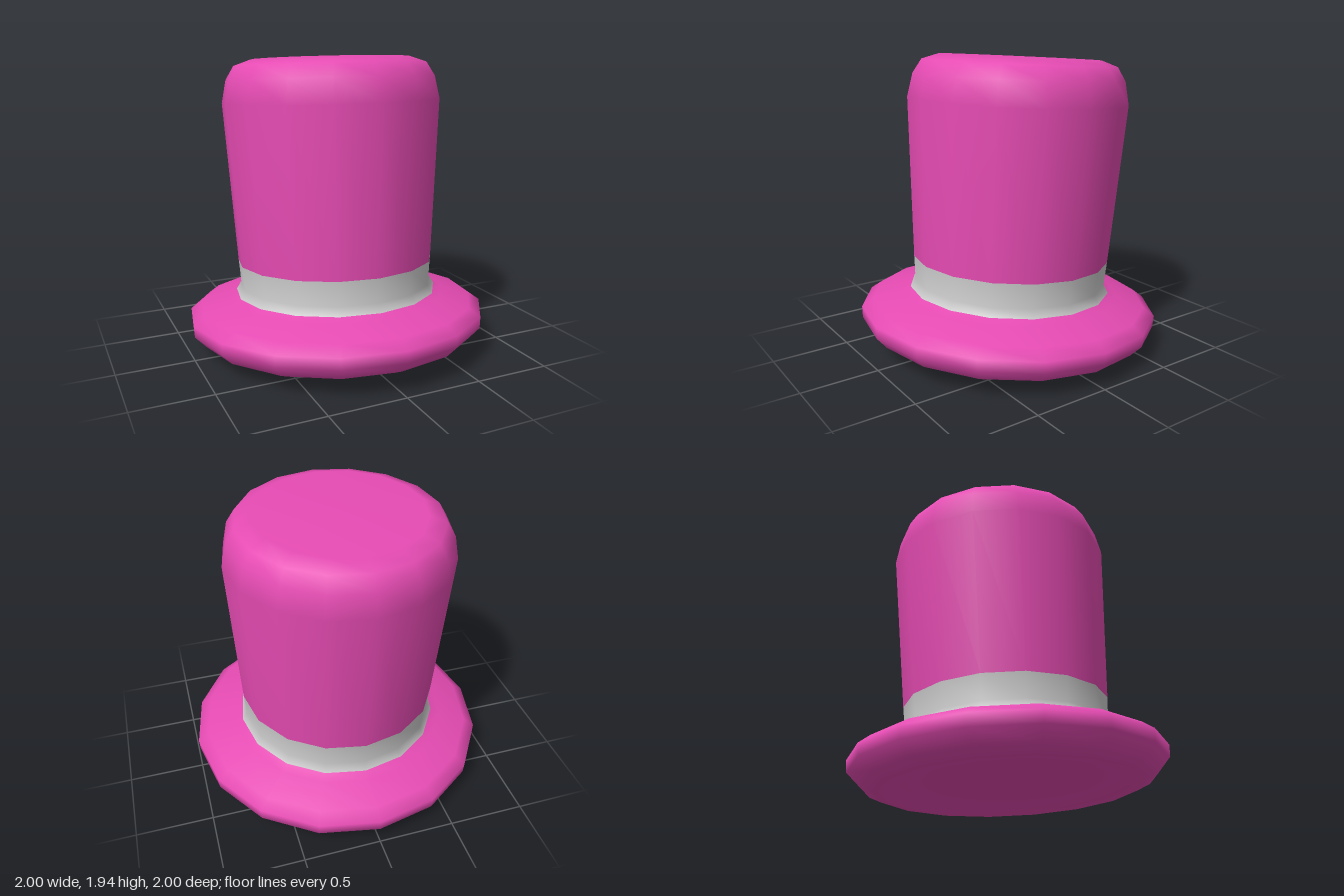
import * as THREE from 'three';

const SIDES = 16;
const pink = new THREE.MeshStandardMaterial({ color: 0xe64bb3 });
const grey = new THREE.MeshStandardMaterial({ color: 0xcccccc });

// Revolve a [radius, height] profile, listed from bottom to top
function turned(name, profile, material) {
  const points = profile.map(([r, y]) => new THREE.Vector2(r, y));
  const mesh = new THREE.Mesh(new THREE.LatheGeometry(points, SIDES), material);
  mesh.name = name;
  return mesh;
}

export function createModel() {
  const hat = new THREE.Group();
  hat.name = 'topHat';

  // Brim: shallow hollow underneath, rounded rim, slope up to the band
  hat.add(turned('brim', [
    [0, 0.09], [0.5, 0.08], [0.65, 0.05], [0.74, 0.005], [0.84, 0],
    [0.925, 0.04], [0.995, 0.115], [1, 0.19], [0.925, 0.245],
    [0.74, 0.295], [0.68, 0.322],
  ], pink));

  // Band: flares out where it meets the brim
  hat.add(turned('band', [[0.68, 0.322], [0.648, 0.375], [0.66, 0.535]], grey));

  // Crown: widens upward, rounded shoulder, flat top
  hat.add(turned('crown', [
    [0.66, 0.535], [0.723, 1.59], [0.692, 1.74], [0.637, 1.83],
    [0.53, 1.867], [0, 1.87],
  ], pink));

  // The whole hat leans slightly backward
  hat.rotation.x = -0.054;
  hat.position.set(0, 0.046, 0.011);

  const model = new THREE.Group();
  model.add(hat);
  return model;
}
